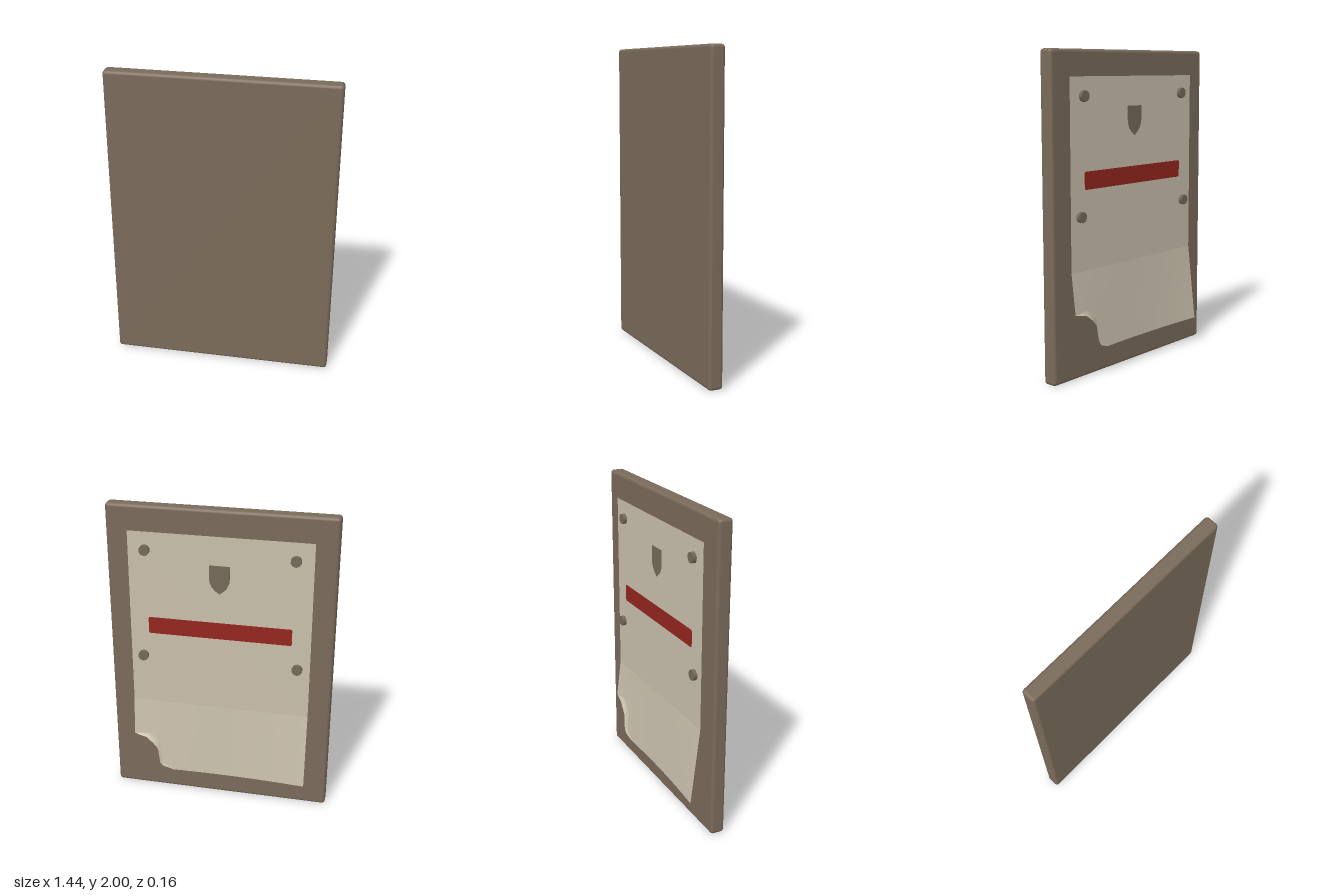
import * as THREE from 'three';
import { RoundedBoxGeometry } from 'three/addons/geometries/RoundedBoxGeometry.js';

const SHEET_Z = -0.024, CREASE_Y = 0.67, HALF = 0.58, TOP = 1.84, BOTTOM = 0.17;

function material(name, color, side = THREE.FrontSide) {
  return Object.assign(new THREE.MeshStandardMaterial({ color, side }), { name });
}

// Depth of the sheet: flat above the crease, lifting off the board below it
function sheetZ(x, y) {
  const t = Math.max(0, (CREASE_Y - y) / 0.5);
  return SHEET_Z - t * (0.038 + 0.022 * (x / HALF) ** 2);
}

// Surface joining equal-length rows of points
function loft(rows) {
  const n = rows[0].length, index = [];
  for (let r = 0; r < rows.length - 1; r++) {
    for (let i = 0; i < n - 1; i++) {
      const a = r * n + i, b = a + n;
      index.push(a, b, a + 1, a + 1, b, b + 1);
    }
  }
  const geo = new THREE.BufferGeometry();
  geo.setAttribute('position', new THREE.Float32BufferAttribute(rows.flat(2), 3));
  geo.setIndex(index);
  geo.computeVertexNormals();
  return geo;
}

export function createModel() {
  const group = new THREE.Group();
  const wood = material('board brown', 0x7a6b5a);
  const paper = material('paper beige', 0xc9bfac, THREE.DoubleSide);
  const red = material('stripe red', 0x94261e);
  const dark = material('pin brown', 0x756a59);

  function add(name, geo, mat, x = 0, y = 0, z = 0) {
    const mesh = new THREE.Mesh(geo, mat);
    mesh.name = name;
    mesh.position.set(x, y, z);
    group.add(mesh);
    return mesh;
  }

  // Board with softened edges
  add('board', new RoundedBoxGeometry(1.44, 2, 0.092, 2, 0.02), wood, 0, 1, 0.035);

  // Flat upper part of the sheet
  add('paperUpper', new THREE.PlaneGeometry(2 * HALF, TOP - CREASE_Y), paper,
    0, (TOP + CREASE_Y) / 2, SHEET_Z);

  // Lower part, lifted and with a corner torn away
  const tear = [[0.31, BOTTOM], [0.37, 0.21], [0.385, 0.25], [0.395, 0.36],
    [0.43, 0.40], [0.48, 0.43], [0.53, 0.425], [HALF, 0.42]];
  const edge = [];
  for (let i = 0; i < 8; i++) edge.push([-HALF + i * (HALF + 0.31) / 8, BOTTOM]);
  edge.push(...tear);
  const rows = [];
  for (let r = 0; r <= 5; r++) {
    rows.push(edge.map(([x, yb]) => {
      const y = CREASE_Y + (yb - CREASE_Y) * r / 5;
      return [x, y, sheetZ(x, y)];
    }));
  }
  add('paperLower', loft(rows), paper);

  // Lip curling outwards along the tear
  const lip = [0, 0.5, 1].map((s) => tear.map(([x, y], i) => {
    const w = Math.sin(Math.PI * i / (tear.length - 1)) * s;
    return [x + 0.02 * w, y - 0.035 * w, sheetZ(x, y) - 0.022 * w * s];
  }));
  add('tornLip', loft(lip), paper);

  // Printed stripe
  const w = 0.46, h = 0.055, c = 0.012;
  const bar = new THREE.Shape();
  bar.moveTo(-w + c, -h);
  bar.lineTo(w - c, -h);
  bar.quadraticCurveTo(w, -h, w, -h + c);
  bar.lineTo(w, h - c);
  bar.quadraticCurveTo(w, h, w - c, h);
  bar.lineTo(-w + c, h);
  bar.quadraticCurveTo(-w, h, -w, h - c);
  bar.lineTo(-w, -h + c);
  bar.quadraticCurveTo(-w, -h, -w + c, -h);
  const plate = { depth: 0.003, bevelEnabled: false, curveSegments: 4 };
  add('stripe', new THREE.ExtrudeGeometry(bar, plate), red, 0, 1.22, SHEET_Z - 0.004);

  // Printed plain shield
  const shield = new THREE.Shape();
  shield.moveTo(0, -0.1);
  shield.quadraticCurveTo(0.065, -0.06, 0.065, 0);
  shield.lineTo(0.065, 0.085);
  shield.lineTo(-0.065, 0.085);
  shield.lineTo(-0.065, 0);
  shield.quadraticCurveTo(-0.065, -0.06, 0, -0.1);
  add('shield', new THREE.ExtrudeGeometry(shield, plate), dark, 0, 1.57, SHEET_Z - 0.004);

  // Four pins holding the sheet
  const pin = new THREE.CylinderGeometry(0.034, 0.034, 0.026, 10).rotateX(Math.PI / 2);
  for (const [x, y] of [[0.47, 1.725], [0.5, 1.005]]) {
    for (const s of [-1, 1]) add('pin', pin, dark, s * x, y, -0.035);
  }
  return group;
}
